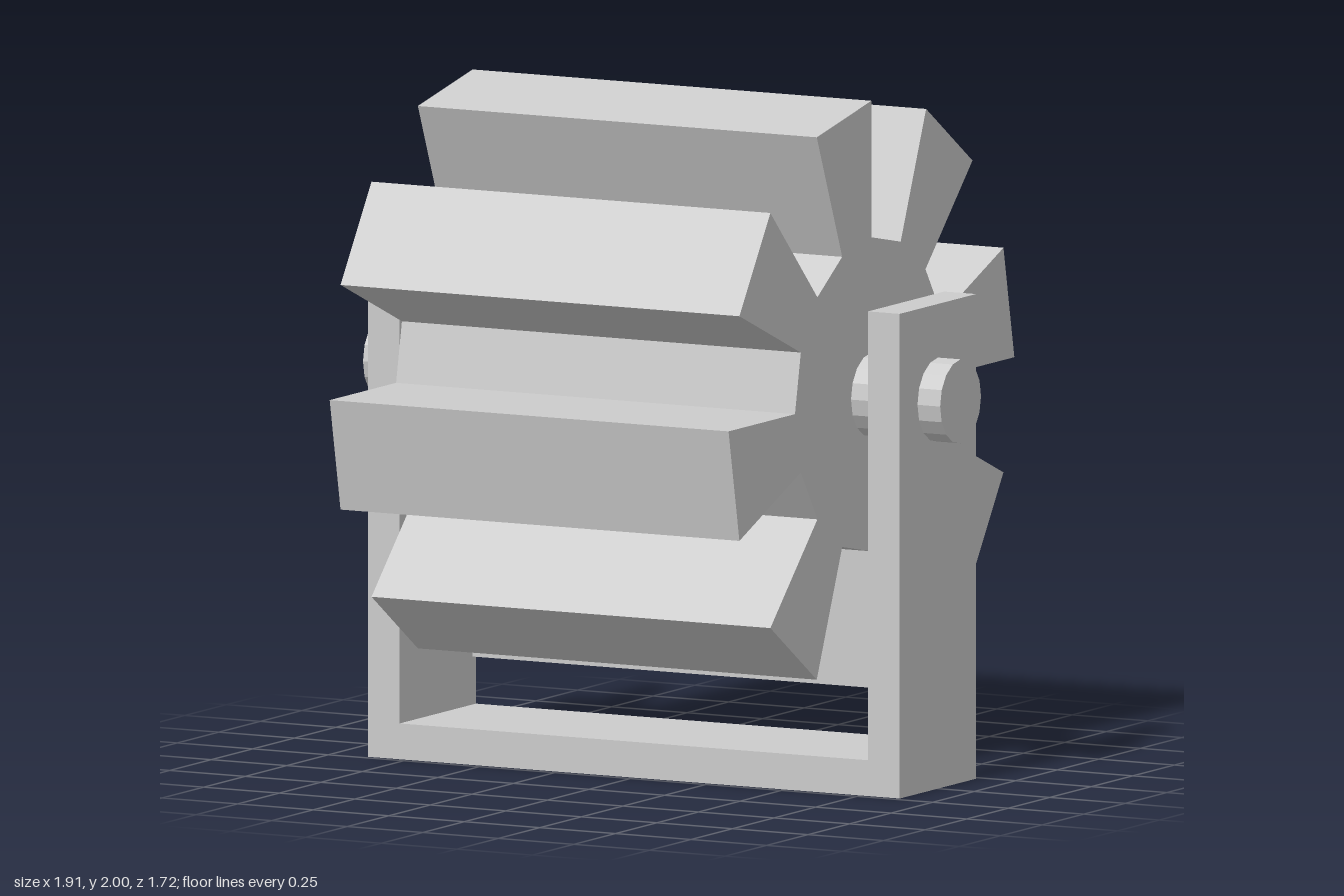
import * as THREE from 'three';

const AXLE_Y = 1.14;

function polygon(points) {
  return new THREE.Shape(points.map(([x, y]) => new THREE.Vector2(x, y)));
}

// Flat outline extruded symmetrically about its own plane
function prism(points, depth) {
  const geometry = new THREE.ExtrudeGeometry(polygon(points), { depth, bevelEnabled: false });
  return geometry.translate(0, 0, -depth / 2);
}

export function createModel() {
  const model = new THREE.Group();
  model.name = 'paddleWheel';
  const material = new THREE.MeshStandardMaterial({ color: 0xcccccc, flatShading: true });

  const add = (name, geometry) => {
    const mesh = new THREE.Mesh(geometry, material);
    mesh.name = name;
    model.add(mesh);
    return mesh;
  };

  // U-shaped stand: base slab with two uprights
  const outer = 0.88, inner = 0.775, top = 1.42, floor = 0.105;
  add('stand', prism([
    [-outer, 0], [outer, 0], [outer, top], [inner, top],
    [inner, floor], [-inner, floor], [-inner, top], [-outer, top],
  ], 0.46));

  // Wheel with eight blades, each blade and gap taking a sixteenth of a turn
  const bladeCount = 8, hubRadius = 0.46, tipRadius = 0.86;
  const outline = [];
  for (let i = 0; i < bladeCount; i++) {
    const start = (i / bladeCount) * Math.PI * 2;
    const end = start + Math.PI / bladeCount;
    for (const [r, a] of [[hubRadius, start], [tipRadius, start], [tipRadius, end], [hubRadius, end]]) {
      outline.push([-r * Math.sin(a), r * Math.cos(a)]);
    }
  }
  const wheel = add('wheel', prism(outline, 1.32).rotateY(Math.PI / 2));
  wheel.position.y = AXLE_Y;

  // Axle through the wheel and both uprights
  const axle = add('axle', new THREE.CylinderGeometry(0.123, 0.123, 1.91, 16).rotateZ(Math.PI / 2));
  axle.position.y = AXLE_Y;

  return model;
}
